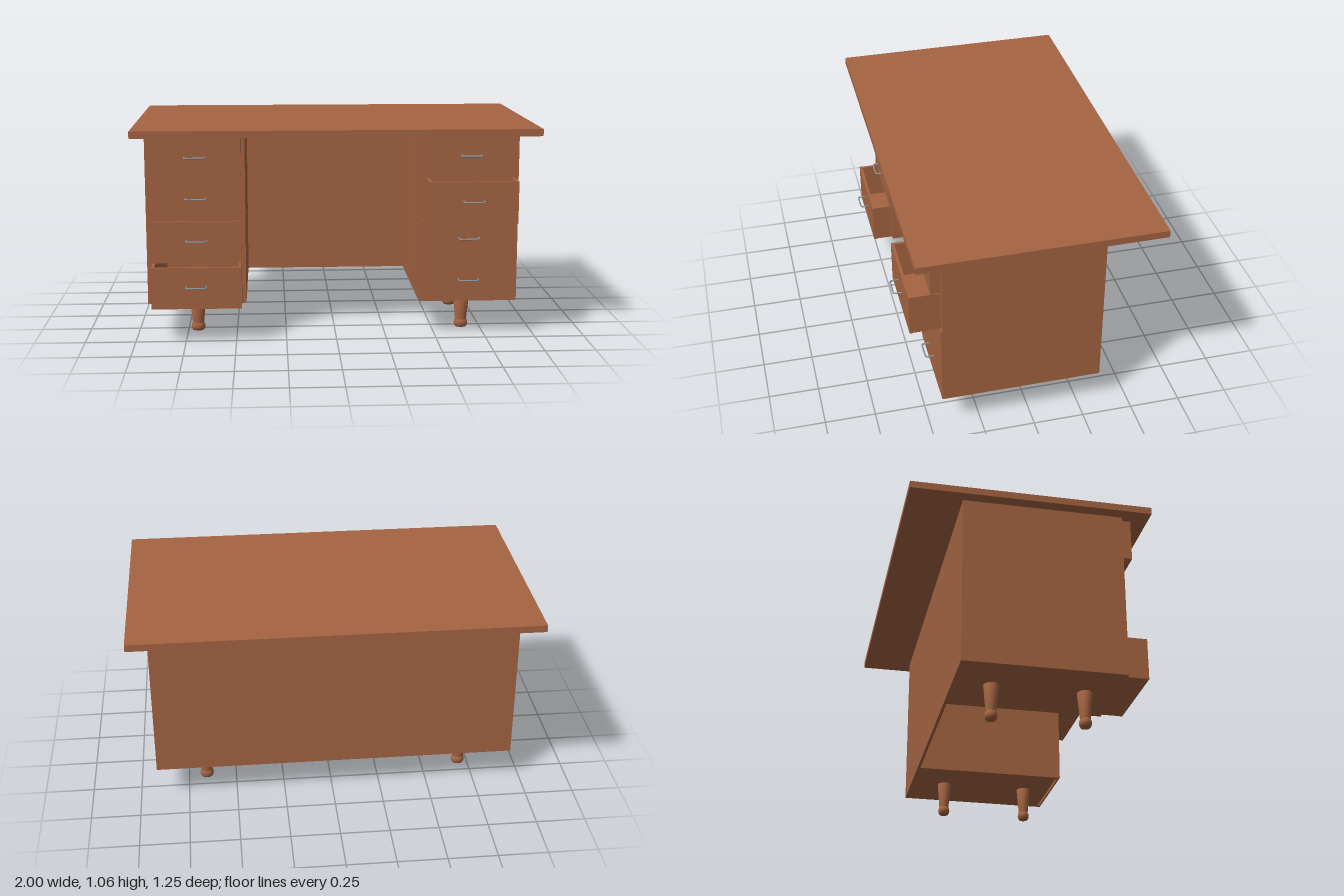
import * as THREE from 'three';

const wood = new THREE.MeshStandardMaterial({ color: 0xa56442 });
wood.name = 'brown wood';
const steel = new THREE.MeshStandardMaterial({ color: 0x8a979c });
steel.name = 'grey steel';

// Box given by its limits on each axis
function slab(parent, name, x0, x1, y0, y1, z0, z1) {
  const mesh = new THREE.Mesh(new THREE.BoxGeometry(x1 - x0, y1 - y0, z1 - z0), wood);
  mesh.position.set((x0 + x1) / 2, (y0 + y1) / 2, (z0 + z1) / 2);
  mesh.name = name;
  parent.add(mesh);
}

// U-shaped wire pull with rounded corners
function handleGeometry() {
  const w = 0.05, d = 0.041, r = 0.014;
  const v = (x, z) => new THREE.Vector3(x, 0, z);
  const path = new THREE.CurvePath();
  path.add(new THREE.LineCurve3(v(-w, -0.003), v(-w, d - r)));
  path.add(new THREE.QuadraticBezierCurve3(v(-w, d - r), v(-w, d), v(-w + r, d)));
  path.add(new THREE.LineCurve3(v(-w + r, d), v(w - r, d)));
  path.add(new THREE.QuadraticBezierCurve3(v(w - r, d), v(w, d), v(w, d - r)));
  path.add(new THREE.LineCurve3(v(w, d - r), v(w, -0.003)));
  return new THREE.TubeGeometry(path, 48, 0.004, 8, false);
}
const pull = handleGeometry();

function addHandle(parent, x, y, z) {
  const mesh = new THREE.Mesh(pull, steel);
  mesh.position.set(x, y, z);
  mesh.name = 'drawerHandle';
  parent.add(mesh);
}

// Open-topped drawer whose front face lies at z
function addDrawer(parent, x0, x1, y0, y1, z, handleY) {
  const drawer = new THREE.Group();
  drawer.name = 'drawer';
  const t = 0.014, back = -0.32, a = x0 + 0.001, b = x1 - 0.001, low = y0 + 0.001;
  slab(drawer, 'drawerFront', x0, x1, y0, y1, z - t, z);
  slab(drawer, 'drawerSide', a, a + t, low, y1, back, z - t);
  slab(drawer, 'drawerSide', b - t, b, low, y1, back, z - t);
  slab(drawer, 'drawerBack', a + t, b - t, low, y1, back, back + t);
  slab(drawer, 'drawerFloor', a + t, b - t, low, low + t, back + t, z - t);
  addHandle(drawer, (x0 + x1) / 2, handleY, z);
  parent.add(drawer);
}

// Tapered leg with a rounded foot
const legGeometry = new THREE.LatheGeometry([
  [0, 0], [0.024, 0], [0.029, 0.01], [0.031, 0.02], [0.029, 0.032], [0.025, 0.04],
  [0.025, 0.04], [0.037, 0.18], [0, 0.18],
].map(([r, y]) => new THREE.Vector2(r, y)), 24);

export function createModel() {
  const desk = new THREE.Group();
  desk.name = 'desk';
  const bottom = 0.175, top = 1.025, front = 0.432, back = -0.355;

  slab(desk, 'deskTop', -1, 1, top, 1.06, -0.62, 0.565);
  slab(desk, 'backPanel', -0.94, 0.91, bottom, top, back, -0.34);

  // Pedestal shells: outer limits and the opening for the drawers
  for (const [x0, i0, i1, x1] of [[-0.94, -0.915, -0.47, -0.45], [0.42, 0.445, 0.885, 0.91]]) {
    const shell = new THREE.Group();
    shell.name = 'pedestal';
    slab(shell, 'sidePanel', x0, i0, bottom, top, -0.34, front);
    slab(shell, 'sidePanel', i1, x1, bottom, top, -0.34, front);
    slab(shell, 'bottomPanel', i0, i1, bottom, bottom + 0.01, -0.34, front - 0.012);
    desk.add(shell);
  }

  // Right-hand drawers: top one ajar, lowest one open
  const rows = [0.922, 0.711, 0.499, 0.288];
  const edges = [1.023, 0.812, 0.598, 0.386, bottom];
  [0.482, 0.44, 0.44, 0.536].forEach((z, i) =>
    addDrawer(desk, -0.915, -0.47, edges[i + 1], edges[i] - (i ? 0.003 : 0), z, rows[i]));

  // Left-hand drawers: top one ajar, second one open
  addDrawer(desk, 0.445, 0.885, 0.81, 1.023, 0.48, rows[0]);
  addDrawer(desk, 0.445, 0.885, 0.598, 0.807, 0.582, rows[1]);

  // Closed lower drawers share one front across the pedestal
  slab(desk, 'lowerFront', 0.42, 0.91, bottom, 0.596, front, 0.44);
  slab(desk, 'drawerShelf', 0.445, 0.885, 0.582, 0.596, -0.34, front);
  for (const y of rows.slice(2)) addHandle(desk, 0.665, y, 0.439);

  for (const x of [-0.7, 0.655]) {
    for (const z of [0.283, -0.17]) {
      const leg = new THREE.Mesh(legGeometry, wood);
      leg.position.set(x, 0, z);
      leg.scale.x = 1.15;
      leg.name = 'leg';
      desk.add(leg);
    }
  }
  return desk;
}
